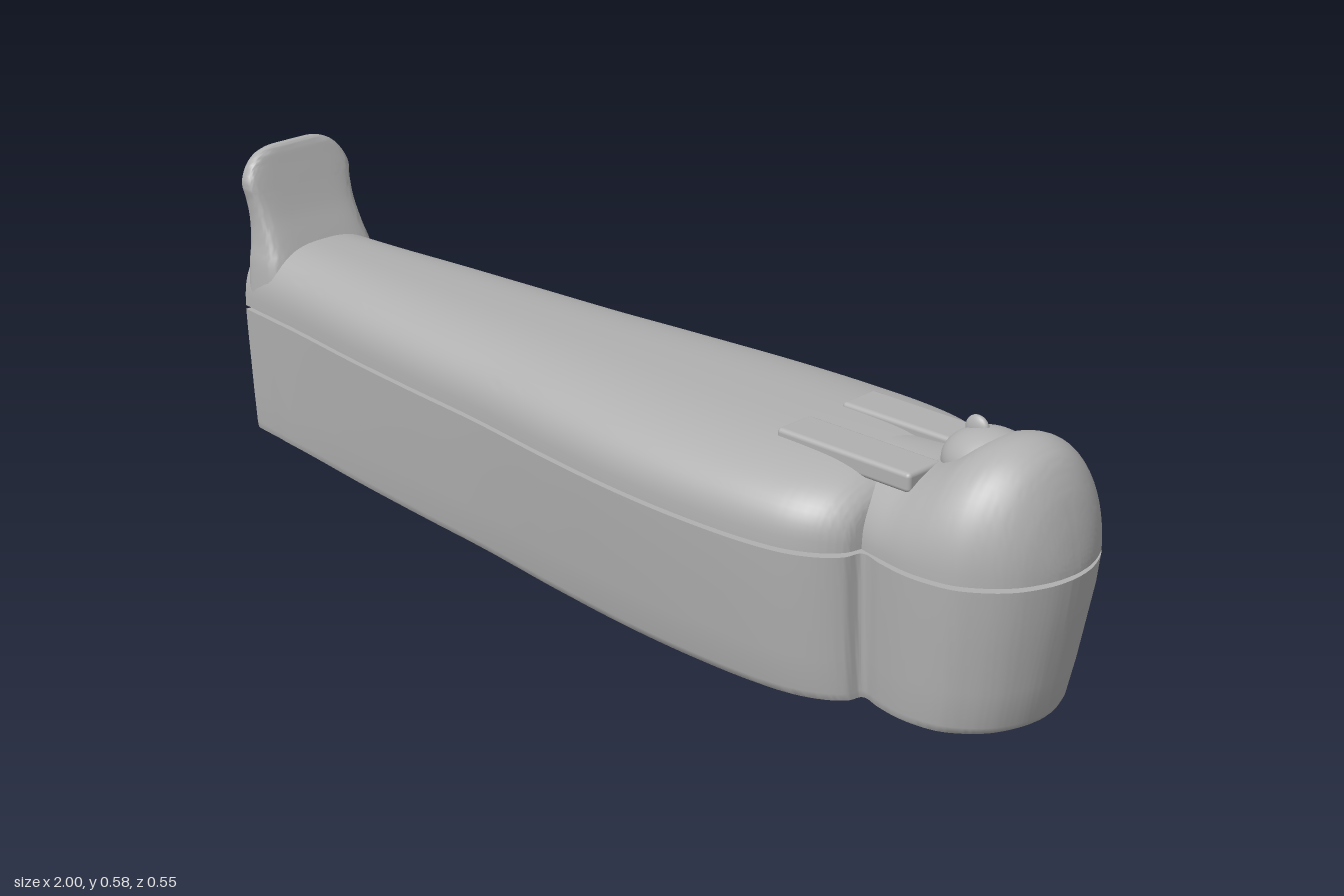
import * as THREE from 'three';
import { toCreasedNormals } from 'three/addons/utils/BufferGeometryUtils.js';
import { RoundedBoxGeometry } from 'three/addons/geometries/RoundedBoxGeometry.js';

const V = (x, y, z) => new THREE.Vector3(x, y, z);
const rim = (x) => 0.268 + 0.006 * x;                 // height of the seam
const mid = (x) => (x < 0 ? 0.02 * x : 0);            // centre line drifts at the foot

// Skin closed rings of equal length and cap both ends with fans.
function loft(rings, crease = 0.7) {
  const n = rings[0].length, pos = [], idx = [];
  rings.forEach((r) => r.forEach((p) => pos.push(p.x, p.y, p.z)));
  for (let i = 0; i < rings.length - 1; i++) {
    for (let j = 0; j < n; j++) {
      const a = i * n + j, b = i * n + (j + 1) % n;
      idx.push(a, b, a + n, b, b + n, a + n);
    }
  }
  [0, rings.length - 1].forEach((i) => {
    const c = V(0, 0, 0);
    rings[i].forEach((p) => c.addScaledVector(p, 1 / n));
    const k = pos.length / 3;
    pos.push(c.x, c.y, c.z);
    for (let j = 0; j < n; j++) {
      const a = i * n + j, b = i * n + (j + 1) % n;
      if (i === 0) idx.push(k, b, a); else idx.push(k, a, b);
    }
  });
  // Turn the faces outward if the enclosed volume is negative.
  let vol = 0;
  const at = (i) => V(pos[3 * i], pos[3 * i + 1], pos[3 * i + 2]);
  for (let i = 0; i < idx.length; i += 3) vol += at(idx[i]).dot(at(idx[i + 1]).cross(at(idx[i + 2])));
  if (vol < 0) idx.reverse();
  const g = new THREE.BufferGeometry();
  g.setAttribute('position', new THREE.Float32BufferAttribute(pos, 3));
  g.setIndex(idx);
  return toCreasedNormals(g, crease);
}

// Stations are [x, half width, top height], smoothed along the length.
const smooth = (stations, n) =>
  new THREE.CatmullRomCurve3(stations.map((s) => V(...s)), false, 'centripetal').getPoints(n);

// Domed lid: a half superellipse over each station.
function lid(stations, power, n) {
  const rings = smooth(stations, n).map(({ x, y: w, z: top }) => {
    const y0 = rim(x) + 0.004, ring = [];
    for (let j = 0; j <= 36; j++) {
      const t = (j / 36) * Math.PI, c = Math.cos(t), s = Math.max(0, Math.sin(t));
      ring.push(V(x, y0 + (top - y0) * s ** (2 / power),
        mid(x) + w * Math.sign(c) * Math.abs(c) ** (2 / power)));
    }
    return ring;
  });
  return loft(rings);
}

const body = [
  [-0.985, 0.14, 0.395], [-0.8, 0.158, 0.395], [-0.6, 0.183, 0.397], [-0.4, 0.203, 0.399],
  [-0.2, 0.22, 0.402], [0, 0.245, 0.405], [0.2, 0.268, 0.405], [0.37, 0.276, 0.405],
  [0.52, 0.27, 0.405], [0.6, 0.255, 0.401], [0.65, 0.23, 0.39], [0.68, 0.2, 0.367], [0.69, 0.168, 0.33],
];
const head = [
  [0.6, 0.14, 0.4], [0.69, 0.168, 0.405], [0.74, 0.178, 0.413], [0.79, 0.186, 0.44],
  [0.84, 0.185, 0.472], [0.89, 0.174, 0.48], [0.935, 0.145, 0.462], [0.965, 0.113, 0.42],
  [0.985, 0.075, 0.365], [0.996, 0.04, 0.315], [1, 0.008, 0.285],
];

// Trough: the whole plan outline, tapering toward the floor.
function trough() {
  const half = smooth([...body, ...head.slice(2)], 140);
  const outline = [
    ...half.map((p) => [p.x, p.y]),
    ...half.slice().reverse().map((p) => [p.x, -p.y]),
  ];
  const levels = [[0, 0.84], [0.004, 0.86], [0.014, 0.875], [0.08, 0.915], [0.16, 0.955], [0.22, 0.985], [1, 1]];
  return loft(levels.map(([y, s]) => outline.map(([x, w]) => {
    const px = x > 0.69 ? 0.69 + (x - 0.69) * (1 - (1 - s) * 1.05) : x + (x < -0.9 ? (1 - s) * 0.08 : 0);
    return V(px, y === 1 ? rim(x) - 0.004 : y, mid(x) + w * s + (1 - s) * 0.08);
  })));
}

// Upright foot end: rounded oblongs stacked upward, [y, back x, front x, half width].
function footBoard() {
  const levels = smooth2([
    [0.275, -0.99, -0.87, 0.138], [0.36, -0.99, -0.885, 0.132], [0.4, -0.99, -0.902, 0.124],
    [0.45, -0.992, -0.926, 0.12], [0.49, -0.996, -0.942, 0.123], [0.52, -0.998, -0.953, 0.128],
    [0.55, -1, -0.964, 0.115], [0.572, -0.999, -0.972, 0.092], [0.583, -0.995, -0.978, 0.06],
    [0.585, -0.99, -0.983, 0.035],
  ]);
  return loft(levels.map(([y, x0, x1, w]) => {
    const ring = [];
    for (let j = 0; j < 48; j++) {
      const t = (j / 48) * Math.PI * 2, c = Math.cos(t), s = Math.sin(t);
      ring.push(V((x0 + x1) / 2 + (x1 - x0) / 2 * Math.sign(c) * Math.abs(c) ** 0.4, y,
        -0.014 + w * Math.sign(s) * Math.abs(s) ** 0.4));
    }
    return ring;
  }));
}

// Cubic in-between levels for rows of four numbers.
function smooth2(rows) {
  const back = smooth(rows.map((r) => [r[0], r[1], r[3]]), 36);
  const front = smooth(rows.map((r) => [r[0], r[2], r[3]]), 36);
  return back.map((p, i) => [p.x, p.y, front[i].y, p.z]);
}

export function createModel() {
  const group = new THREE.Group();
  group.name = 'mummyCoffin';
  const stone = new THREE.MeshStandardMaterial({ color: 0xb0b0b0 });
  stone.name = 'grey stone';
  const add = (name, geometry, x = 0, y = 0, z = 0) => {
    const m = new THREE.Mesh(geometry, stone);
    m.name = name;
    m.position.set(x, y, z);
    group.add(m);
    return m;
  };

  add('trough', trough());
  add('bodyLid', lid(body, 2.7, 110));
  add('headLid', lid(head, 2.1, 70));
  add('footBoard', footBoard());

  // Face with nose, looking up out of the headdress
  add('face', new THREE.SphereGeometry(1, 40, 24), 0.815, 0.418, 0).scale.set(0.085, 0.058, 0.072);
  add('nose', new THREE.SphereGeometry(1, 20, 14), 0.787, 0.468, 0).scale.set(0.024, 0.024, 0.011);

  // Headdress flaps lying on the chest
  [1, -1].forEach((side) => add(side > 0 ? 'frontFlap' : 'backFlap',
    new RoundedBoxGeometry(0.29, 0.035, 0.085, 4, 0.008), 0.605, 0.395, side * 0.083));

  return group;
}
